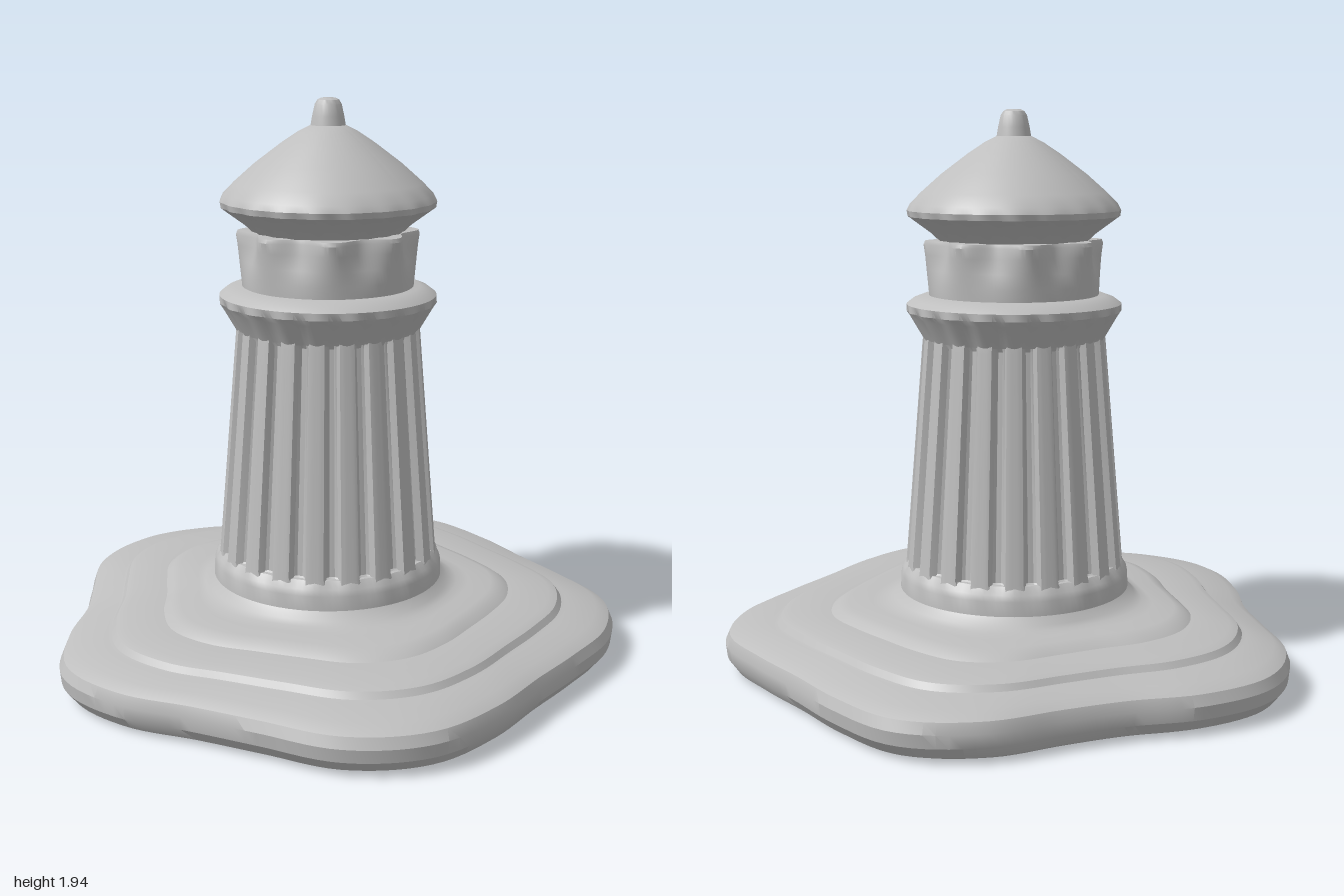
import * as THREE from 'three';
import { toCreasedNormals } from 'three/addons/utils/BufferGeometryUtils.js';

const TAU = Math.PI * 2;

// Skin of rings: each profile entry is [radius, height, waviness]; shape(angle, radius, waviness) gives the final radius
function loft(profile, shape, segments) {
  const pos = [], index = [];
  profile.forEach(([r, y, w = 0]) => {
    for (let j = 0; j < segments; j++) {
      const a = (j / segments) * TAU, q = r === 0 ? 0 : shape(a, r, w);
      pos.push(q * Math.cos(a), y, -q * Math.sin(a));
    }
  });
  for (let i = 0; i < profile.length - 1; i++) {
    for (let j = 0; j < segments; j++) {
      const k = (j + 1) % segments;
      const a = i * segments + j, b = i * segments + k, c = a + segments, d = b + segments;
      if (profile[i][0] > 0) index.push(a, b, c);
      if (profile[i + 1][0] > 0) index.push(b, d, c);
    }
  }
  const g = new THREE.BufferGeometry();
  g.setAttribute('position', new THREE.Float32BufferAttribute(pos, 3));
  g.setIndex(index);
  return toCreasedNormals(g, 0.5);
}

// Outline radius of the island every 15 degrees, counter-clockwise from +x
const OUTLINE = [0.96, 1.02, 0.98, 0.895, 0.885, 0.965, 1.025, 0.995, 0.905, 0.875, 0.945, 1.025,
  1.0, 0.94, 0.955, 1.035, 1.05, 0.985, 0.93, 0.945, 1.005, 1.02, 0.95, 0.92];

function outline(a) {
  const n = OUTLINE.length, t = ((a / TAU) * n + n) % n, i = Math.floor(t), f = t - i;
  const p = (k) => OUTLINE[(i + k + n) % n];
  return p(0) + 0.5 * f * (p(1) - p(-1) + f * (2 * p(-1) - 5 * p(0) + 4 * p(1) - p(2)
    + f * (3 * (p(0) - p(1)) + p(2) - p(-1))));
}

// Shapes of the rings
const round = (a, r) => r;
const island = (a, r, w) => r * (1 + w * (outline(a - (1 - r) * 0.25) - 1));
const scallop = (a, r, w) => r + w * Math.cos(20 * a);
const lobes = (a, r, w) => r - w * (0.5 - 0.5 * Math.cos(8 * a));
const flutes = (a, r, w) => {
  const c = Math.cos(20 * a);
  return r - w * THREE.MathUtils.smoothstep(-c, -0.1, 0.75);
};

export function createModel() {
  const stone = new THREE.MeshStandardMaterial({ color: 0xbebebe });
  stone.name = 'stone grey';
  const model = new THREE.Group();
  model.name = 'lighthouse';
  const add = (name, profile, shape, segments) => {
    const mesh = new THREE.Mesh(loft(profile, shape, segments), stone);
    mesh.name = name;
    mesh.position.set(0.01, 0, 0.035);
    model.add(mesh);
  };

  // Stepped island with a flat underside
  add('island', [
    [0, 0], [0.93, 0, 1], [0.965, 0.015, 1], [0.995, 0.055, 1], [1, 0.1, 1], [0.985, 0.135, 1],
    [0.94, 0.158, 1], [0.84, 0.167, 0.9], [0.825, 0.17, 0.85], [0.81, 0.19, 0.85], [0.78, 0.2, 0.85],
    [0.64, 0.203, 0.8], [0.615, 0.22, 0.8], [0.58, 0.23, 0.75], [0.5, 0.232, 0.6],
    [0.46, 0.238, 0.4], [0.43, 0.25, 0.15], [0.405, 0.275], [0.39, 0.29], [0, 0.29],
  ], island, 160);

  // Plinth under the tower
  add('plinth', [[0.405, 0.265], [0.402, 0.325], [0.394, 0.345, 0.004], [0.375, 0.37, 0.006], [0, 0.37]], scallop, 120);

  // Tapered fluted shaft
  add('shaft', [[0.386, 0.35, 0.008], [0.383, 0.375, 0.035], [0.319, 1.145, 0.03],
    [0.316, 1.17, 0.015], [0, 1.17]], flutes, 240);

  // Gallery collar with a scalloped underside
  add('gallery', [
    [0, 1.16], [0.312, 1.16, 0.005], [0.355, 1.235, 0.006], [0.37, 1.255, 0.004], [0.372, 1.28],
    [0.35, 1.297], [0.315, 1.31], [0, 1.315],
  ], scallop, 160);

  // Lantern room, its wall pinched between eight posts
  add('lantern', [
    [0.293, 1.3], [0.298, 1.35, 0.004], [0.303, 1.4, 0.018], [0.308, 1.45, 0.038],
    [0.313, 1.485, 0.045], [0.308, 1.498, 0.045], [0.24, 1.5], [0, 1.5],
  ], lobes, 160);

  // Roof with flared eaves
  add('roof', [
    [0, 1.49], [0.255, 1.495, 0.003], [0.28, 1.52, 0.004], [0.34, 1.565, 0.006], [0.362, 1.58, 0.004],
    [0.367, 1.6, 0.002], [0.357, 1.622], [0.32, 1.66], [0.25, 1.722], [0.16, 1.79],
    [0.1, 1.83], [0.06, 1.85], [0, 1.855],
  ], scallop, 160);

  // Finial
  add('finial', [[0.06, 1.845], [0.054, 1.88], [0.045, 1.92], [0.036, 1.934], [0.024, 1.94], [0, 1.94]], round, 32);

  return model;
}
